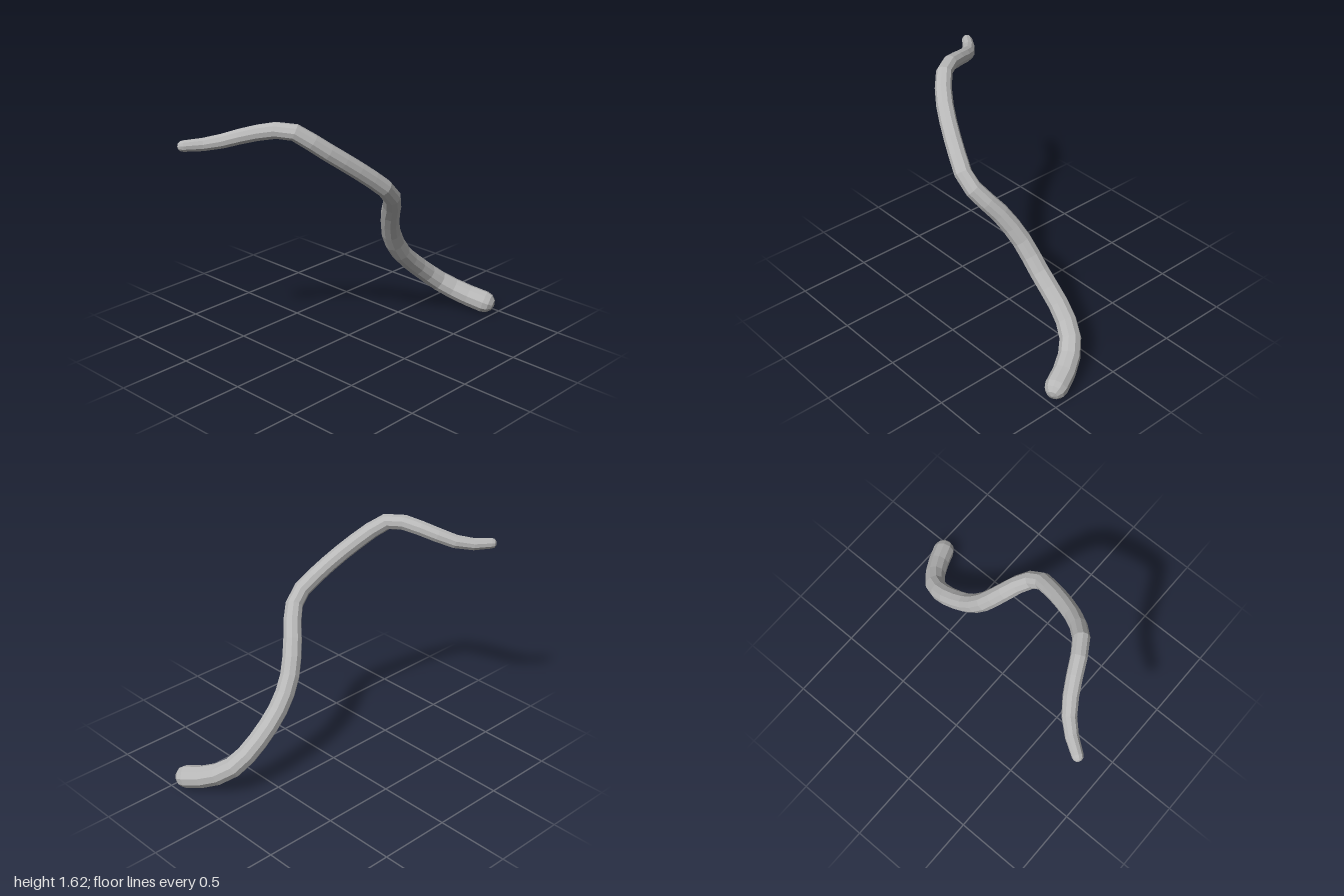
import * as THREE from 'three';

const SIDES = 10;
const SEGMENTS = 26;

// Centre line from the thick lower end to the thin upper end: x, y, z, radius
const PATH = [
  [0.925, 0.075, 0.425, 0.076],
  [0.86, 0.12, 0.28, 0.074],
  [0.77, 0.195, 0.16, 0.071],
  [0.65, 0.3, 0.105, 0.068],
  [0.4, 0.52, 0.1, 0.066],
  [0.27, 0.7, 0.13, 0.065],
  [0.17, 0.88, 0.21, 0.063],
  [0.08, 1.02, 0.305, 0.06],
  [0, 1.11, 0.348, 0.058],
  [-0.13, 1.225, 0.315, 0.057],
  [-0.42, 1.455, 0.18, 0.056],
  [-0.56, 1.572, 0.055, 0.053],
  [-0.65, 1.55, -0.11, 0.051],
  [-0.73, 1.505, -0.25, 0.049],
  [-0.82, 1.465, -0.36, 0.045],
  [-0.965, 1.457, -0.465, 0.036],
];

function branchGeometry() {
  const curve = new THREE.CatmullRomCurve3(PATH.map(([x, y, z]) => new THREE.Vector3(x, y, z)));
  const frames = curve.computeFrenetFrames(SEGMENTS);
  const positions = [];
  const indices = [];
  let rings = 0;

  // One cross-section, pushed along the tangent and scaled for the rounded ends
  const addRing = (i, push = 0, scale = 1) => {
    const u = i / SEGMENTS;
    const t = curve.getUtoTmapping(u) * (PATH.length - 1);
    const k = Math.min(Math.floor(t), PATH.length - 2);
    const radius = THREE.MathUtils.lerp(PATH[k][3], PATH[k + 1][3], t - k);
    const centre = curve.getPointAt(u).addScaledVector(frames.tangents[i], push * radius);
    for (let j = 0; j < SIDES; j++) {
      const a = (j / SIDES) * Math.PI * 2;
      const p = centre.clone()
        .addScaledVector(frames.normals[i], Math.cos(a) * radius * scale)
        .addScaledVector(frames.binormals[i], Math.sin(a) * radius * scale);
      positions.push(p.x, p.y, p.z);
    }
    rings++;
  };

  const capAngles = [Math.PI / 2, Math.PI / 3, Math.PI / 6];
  for (const a of capAngles) addRing(0, -Math.sin(a), Math.cos(a));
  for (let i = 0; i <= SEGMENTS; i++) addRing(i);
  for (const a of [...capAngles].reverse()) addRing(SEGMENTS, Math.sin(a), Math.cos(a));

  for (let i = 0; i < rings - 1; i++) {
    for (let j = 0; j < SIDES; j++) {
      const next = (j + 1) % SIDES;
      const a = i * SIDES + j, b = i * SIDES + next;
      const c = b + SIDES, d = a + SIDES;
      indices.push(a, b, d, b, c, d);
    }
  }

  const geometry = new THREE.BufferGeometry();
  geometry.setAttribute('position', new THREE.Float32BufferAttribute(positions, 3));
  geometry.setIndex(indices);
  geometry.computeVertexNormals();
  return geometry;
}

export function createModel() {
  const group = new THREE.Group();
  group.name = 'twistedBranch';
  const grey = new THREE.MeshStandardMaterial({ color: 0xb8b8b8, flatShading: true });
  grey.name = 'light grey';
  const branch = new THREE.Mesh(branchGeometry(), grey);
  branch.name = 'branch';
  group.add(branch);
  return group;
}
